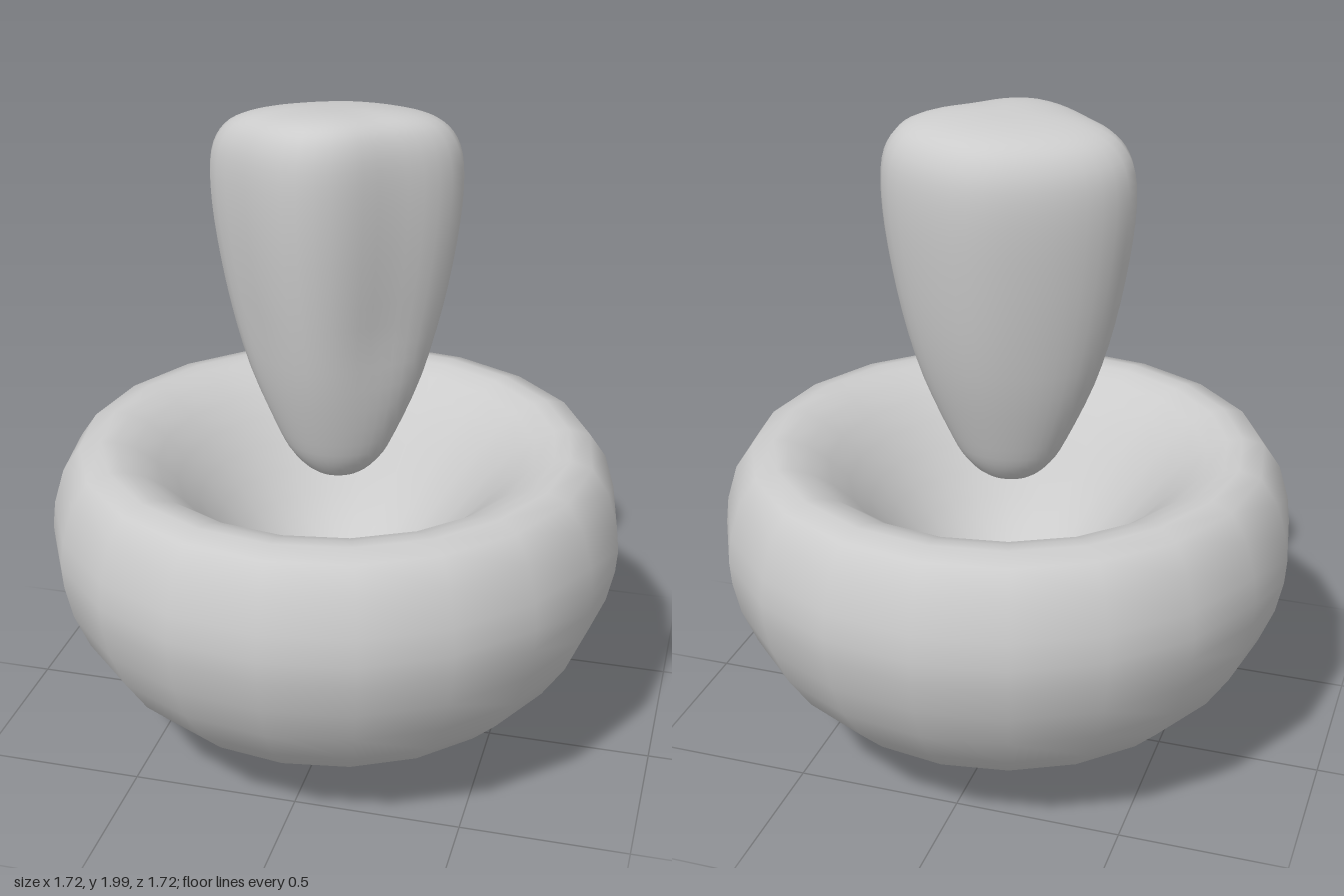
import * as THREE from 'three';

const material = new THREE.MeshStandardMaterial({ color: 0xcccccc });

const vectors = (pairs) => pairs.map(([x, y]) => new THREE.Vector2(x, y));

// Round bowl: bottom, widest belly, rolled rim, then the funnel-like hollow
function makeBowl() {
  const profile = vectors([
    [0, 0.005], [0.14, 0.015], [0.27, 0.045], [0.4, 0.092], [0.52, 0.155],
    [0.63, 0.232], [0.72, 0.322], [0.79, 0.43], [0.835, 0.54], [0.857, 0.64],
    [0.862, 0.71], [0.853, 0.79], [0.822, 0.895], [0.77, 0.97], [0.705, 0.988],
    [0.66, 0.983], [0.6, 0.96], [0.54, 0.917], [0.48, 0.858], [0.42, 0.788],
    [0.36, 0.715], [0.3, 0.645], [0.23, 0.575], [0.15, 0.52], [0.08, 0.49], [0, 0.48],
  ]);
  const mesh = new THREE.Mesh(new THREE.LatheGeometry(profile, 20), material);
  mesh.name = 'bowl';
  return mesh;
}

// Lopsided pestle: one rounded section scaled along its height
function makePestle() {
  const section = new THREE.CatmullRomCurve3([
    [-0.375, 0], [-0.345, 0.065], [-0.27, 0.13], [-0.15, 0.22], [-0.04, 0.257],
    [0.07, 0.228], [0.2, 0.115], [0.315, 0.012], [0.352, -0.07], [0.31, -0.162],
    [0.16, -0.252], [0, -0.278], [-0.19, -0.215], [-0.33, -0.105],
  ].map(([x, z]) => new THREE.Vector3(x, 0, z)), true);
  const around = 40;
  const ring = section.getSpacedPoints(around).slice(0, around);

  // Pairs of section scale and height
  const rows = new THREE.SplineCurve(vectors([
    [0, 0.865], [0.2, 0.88], [0.36, 0.93], [0.49, 1.01], [0.71, 1.2], [0.86, 1.4],
    [0.96, 1.6], [1, 1.75], [0.985, 1.855], [0.91, 1.92], [0.78, 1.96],
    [0.58, 1.982], [0.3, 1.993], [0, 1.995],
  ])).getPoints(39);

  const positions = [];
  const index = [];
  rows.forEach(({ x: s, y }, j) => {
    const crown = THREE.MathUtils.smoothstep(y, 1.6, 1.95);
    // The section softens to an ellipse towards the tip
    const soften = 0.8 * (1 - THREE.MathUtils.smoothstep(y, 0.9, 1.4));
    for (const p of ring) {
      const angle = Math.atan2(p.z / 0.267, p.x / 0.365);
      const x = s * THREE.MathUtils.lerp(p.x, 0.365 * Math.cos(angle), soften);
      const z = s * THREE.MathUtils.lerp(p.z, 0.267 * Math.sin(angle), soften);
      // The crown slopes down to the back
      positions.push(x, y + crown * (0.03 * x + 0.08 * z), z);
    }
    if (j === 0) return;
    for (let i = 0; i < around; i++) {
      const n = (i + 1) % around;
      const a = (j - 1) * around + i, b = (j - 1) * around + n;
      const c = j * around + n, d = j * around + i;
      if (j > 1) index.push(a, b, d);
      if (j < rows.length - 1) index.push(b, c, d);
    }
  });
  const geometry = new THREE.BufferGeometry();
  geometry.setAttribute('position', new THREE.Float32BufferAttribute(positions, 3));
  geometry.setIndex(index);
  geometry.computeVertexNormals();
  const mesh = new THREE.Mesh(geometry, material);
  mesh.name = 'pestle';
  return mesh;
}

export function createModel() {
  const group = new THREE.Group();
  group.name = 'mortarAndPestle';
  group.add(makeBowl(), makePestle());
  return group;
}
